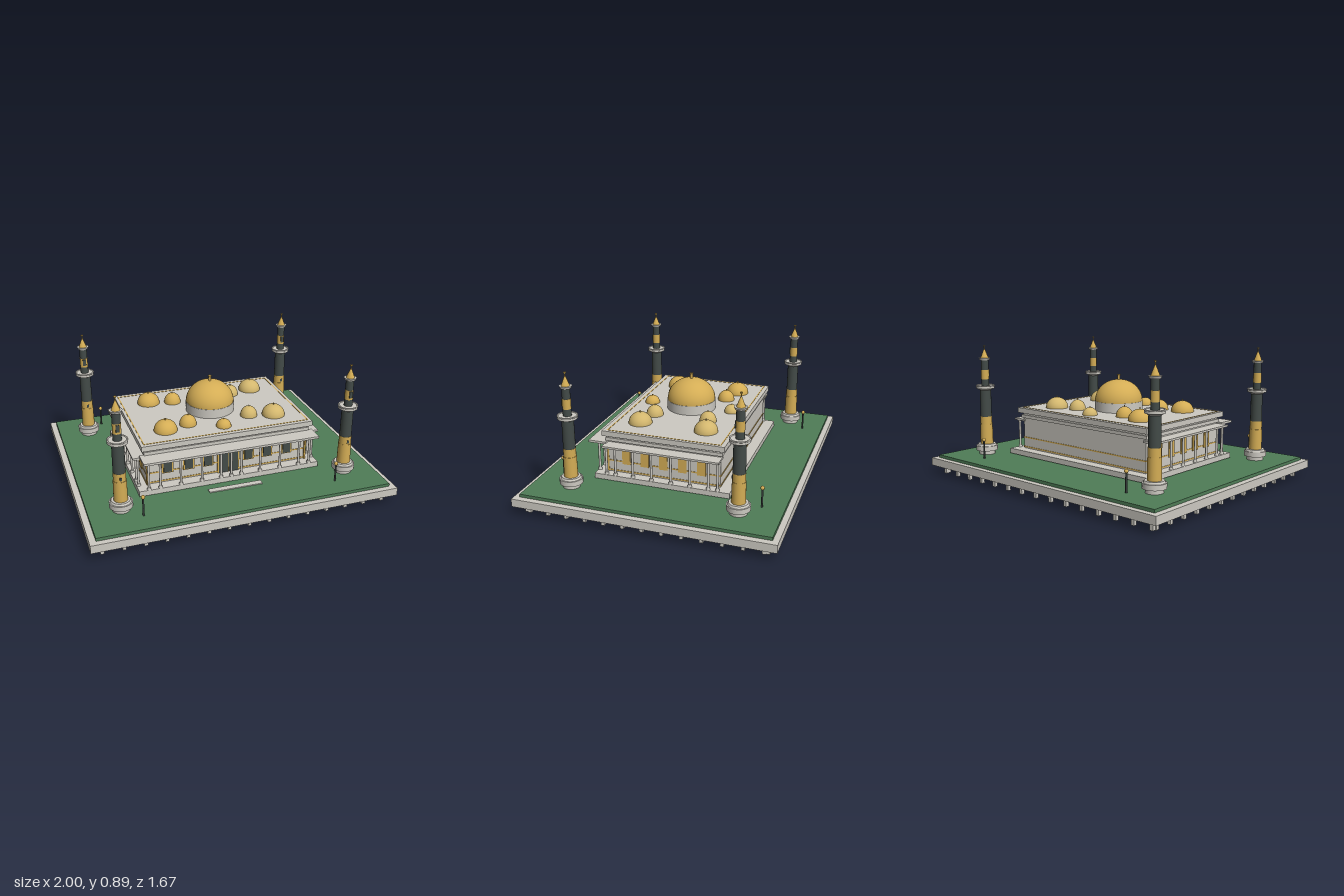
import * as THREE from 'three';

const mat = (name, color) => {
  const m = new THREE.MeshStandardMaterial({ color });
  m.name = name;
  return m;
};

export function createModel() {
  const root = new THREE.Group();
  const stone = mat('stone', 0xcdcac2);
  const grass = mat('grass', 0x4f7d57);
  const gold = mat('gold', 0xd4ad55);
  const paleGold = mat('paleGold', 0xd3b76e);
  const dark = mat('darkStone', 0x434b48);

  const add = (parent, name, geo, material, x = 0, y = 0, z = 0) => {
    const m = new THREE.Mesh(geo, material);
    m.name = name;
    m.position.set(x, y, z);
    parent.add(m);
    return m;
  };
  // Box given by its centre in x and z and its bottom and top heights
  const box = (parent, name, material, w, d, y0, y1, x = 0, z = 0) =>
    add(parent, name, new THREE.BoxGeometry(w, y1 - y0, d), material, x, (y0 + y1) / 2, z);
  const cyl = (parent, name, material, r0, r1, y0, y1, x = 0, z = 0, n = 24) =>
    add(parent, name, new THREE.CylinderGeometry(r1, r0, y1 - y0, n), material, x, (y0 + y1) / 2, z);
  const group = (name, x = 0, z = 0) => {
    const g = new THREE.Group();
    g.name = name;
    g.position.set(x, 0, z);
    root.add(g);
    return g;
  };

  // Ground slab on short posts
  box(root, 'groundSlab', stone, 2, 1.675, 0.057, 0.11);
  box(root, 'lawn', grass, 1.92, 1.6, 0.11, 0.13);
  const posts = group('slabPosts');
  for (const s of [-1, 1]) {
    for (let i = -7; i <= 7; i++) box(posts, 'post', stone, 0.022, 0.022, 0, 0.057, i * 0.132, s * 0.772);
    for (let i = -6; i <= 6; i++) box(posts, 'post', stone, 0.022, 0.022, 0, 0.057, s * 0.93, i * 0.125);
  }

  // Plinth, step, hall and roof
  box(root, 'plinth', stone, 1.23, 0.9, 0.135, 0.17);
  box(root, 'frontStep', stone, 0.36, 0.04, 0.13, 0.136, 0, 0.52);
  const hall = group('hall');
  box(hall, 'walls', stone, 1.1, 0.75, 0.17, 0.4);
  box(hall, 'cornice', stone, 1.125, 0.775, 0.385, 0.407);
  box(hall, 'roofNeck', stone, 1.1, 0.76, 0.407, 0.422);
  box(hall, 'roofSlab', stone, 1.16, 0.81, 0.422, 0.457);
  for (const y of [0.18, 0.247]) box(hall, 'goldBand', gold, 1.106, 0.756, y - 0.004, y + 0.004);
  for (const s of [-1, 1]) {
    box(hall, 'roofInlay', gold, 1.12, 0.007, 0.456, 0.459, 0, s * 0.374);
    box(hall, 'roofInlay', gold, 0.007, 0.755, 0.456, 0.459, s * 0.557, 0);
  }

  // Door and windows
  box(hall, 'doorFrame', gold, 0.15, 0.008, 0.17, 0.36, 0, 0.379);
  for (const s of [-1, 1]) {
    box(hall, 'doorLeaf', dark, 0.063, 0.008, 0.172, 0.33, s * 0.034, 0.383);
    for (const x of [0.14, 0.27, 0.41]) {
      box(hall, 'windowFrame', gold, 0.075, 0.008, 0.235, 0.365, s * x, 0.379);
      box(hall, 'windowPane', dark, 0.055, 0.008, 0.242, 0.358, s * x, 0.383);
    }
    box(hall, 'cornerStrip', gold, 0.012, 0.014, 0.17, 0.36, s * 0.545, 0.38);
    for (let i = -2; i <= 2; i++) box(hall, 'sidePanel', gold, 0.009, 0.055, 0.232, 0.365, s * 0.552, i * 0.126);
  }

  // Colonnades and their canopies
  const colonnade = group('colonnade');
  const column = (x, z, top) => {
    cyl(colonnade, 'columnShaft', stone, 0.008, 0.008, 0.185, top - 0.012, x, z, 12);
    cyl(colonnade, 'columnBase', stone, 0.014, 0.011, 0.17, 0.187, x, z, 12);
    cyl(colonnade, 'columnCapital', stone, 0.009, 0.014, top - 0.016, top, x, z, 12);
  };
  box(colonnade, 'frontCanopy', stone, 1.18, 0.12, 0.37, 0.385, 0, 0.435);
  column(0, 0.44, 0.37);
  for (const s of [-1, 1]) {
    box(colonnade, 'sideCanopy', stone, 0.1, 0.77, 0.362, 0.375, s * 0.585, 0);
    for (const x of [0.07, 0.2, 0.34, 0.475, 0.55]) column(s * x, 0.44, 0.37);
    for (const z of [0.065, 0.19, 0.31, 0.37]) for (const t of [-1, 1]) column(s * 0.6, t * z, 0.362);
  }

  // Domes: x, z, radius, height, with a small finial on top
  const dome = (name, material, x, z, r, h, base) => {
    const g = group(name, x, z);
    const shell = new THREE.SphereGeometry(r, 32, 12, 0, Math.PI * 2, 0, Math.PI / 2);
    shell.scale(1, h / r, 1);
    add(g, 'domeShell', shell, material, 0, base, 0);
    const f = r * 0.06;
    cyl(g, 'finial', material, f, f, base + h - 0.002, base + h + r * 0.14, 0, 0, 10);
    return g;
  };
  const main = dome('mainDome', gold, 0, 0, 0.162, 0.145, 0.52);
  cyl(main, 'drum', stone, 0.164, 0.164, 0.457, 0.521, 0, 0, 40);
  cyl(main, 'finialCap', gold, 0.008, 0.013, 0.683, 0.7, 0, 0, 12);
  for (const s of [-1, 1]) {
    const m = s < 0 ? gold : paleGold;
    for (const t of [-1, 1]) {
      dome('cornerDome', m, s * 0.375, t * 0.223, 0.077, 0.073, 0.457);
      dome('innerDome', m, s * 0.213, t * 0.185, 0.057, 0.067, 0.457);
    }
    dome('axisDome', s < 0 ? paleGold : gold, 0, s * 0.285, 0.05, 0.05, 0.457);
  }

  // Minarets: stacked drums of [material, lower radius, upper radius, bottom, top]
  const tiers = [
    [stone, 0.055, 0.055, 0.13, 0.157], [stone, 0.074, 0.074, 0.157, 0.19],
    [stone, 0.066, 0.06, 0.19, 0.203], [gold, 0.044, 0.042, 0.203, 0.34],
    [gold, 0.04, 0.04, 0.34, 0.395], [dark, 0.039, 0.038, 0.395, 0.58],
    [stone, 0.04, 0.056, 0.58, 0.592], [stone, 0.063, 0.063, 0.592, 0.61],
    [dark, 0.027, 0.027, 0.61, 0.655], [gold, 0.027, 0.027, 0.655, 0.72],
    [dark, 0.026, 0.026, 0.72, 0.787], [stone, 0.034, 0.04, 0.787, 0.802],
    [gold, 0.027, 0.004, 0.802, 0.862], [gold, 0.003, 0.003, 0.86, 0.885],
    [gold, 0.009, 0.009, 0.882, 0.887],
  ];
  for (const x of [-0.753, 0.753]) for (const z of [-0.545, 0.545]) {
    const g = group('minaret', x, z);
    for (const [m, r0, r1, y0, y1] of tiers) cyl(g, 'tier', m, r0, r1, y0, y1);
    const rail = add(g, 'balconyRail', new THREE.TorusGeometry(0.06, 0.005, 8, 28), stone, 0, 0.61, 0);
    rail.rotation.x = Math.PI / 2;
    box(g, 'upperWindow', dark, 0.022, 0.006, 0.67, 0.715, 0, 0.028);
    box(g, 'lowerWindow', dark, 0.014, 0.006, 0.352, 0.372, 0, 0.04);
  }

  // Garden lamps
  for (const x of [-0.64, 0.64]) for (const z of [-0.66, 0.655]) {
    const g = group('lamp', x, z);
    cyl(g, 'lampPost', dark, 0.006, 0.006, 0.13, 0.25, 0, 0, 10);
    add(g, 'lampGlobe', new THREE.SphereGeometry(0.013, 14, 10), gold, 0, 0.258, 0);
  }
  return root;
}
